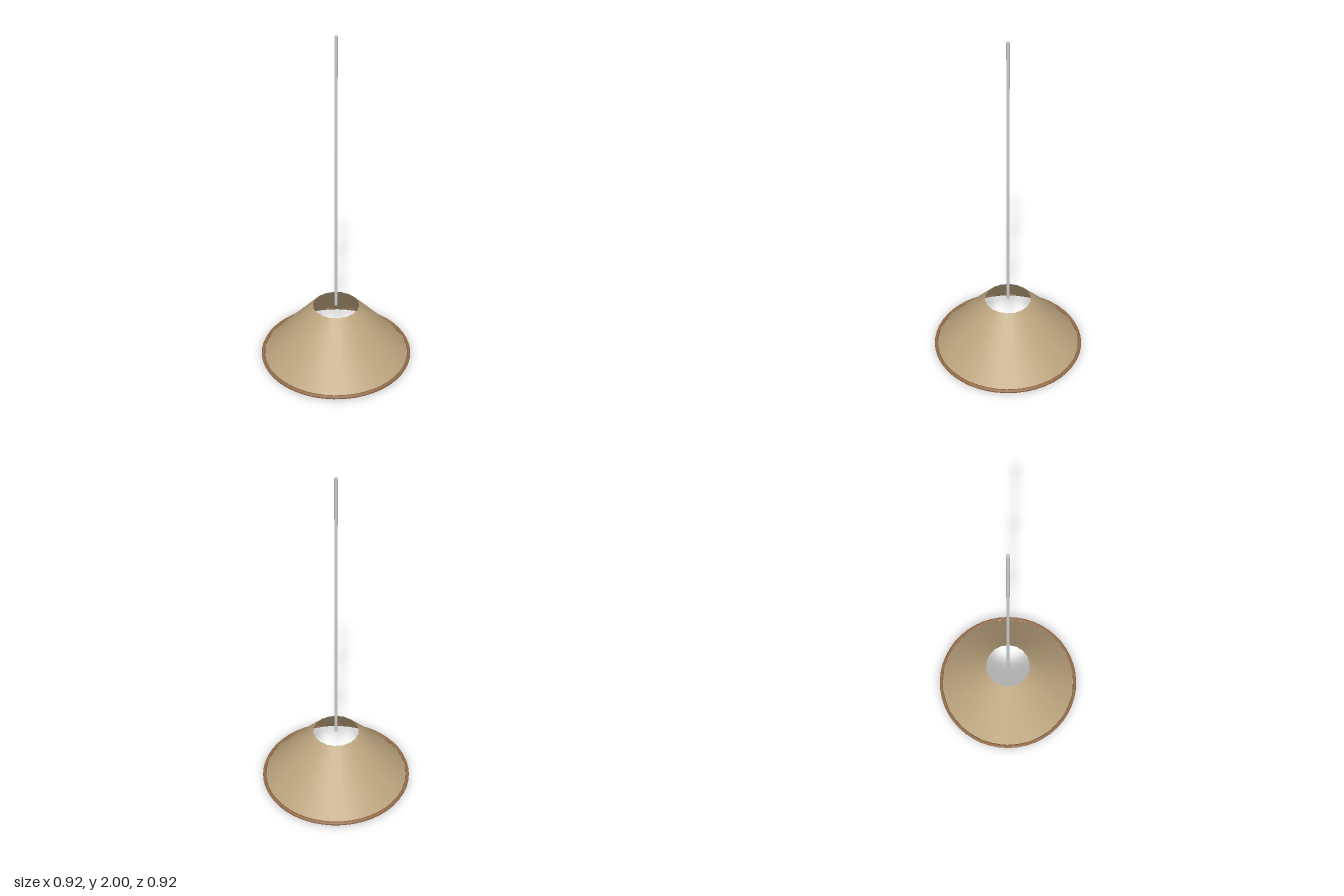
import * as THREE from 'three';

const mat = (name, color, side = THREE.FrontSide) => {
  const m = new THREE.MeshStandardMaterial({ color, side });
  m.name = name;
  return m;
};

export function createModel() {
  const fabric = mat('tan fabric', 0xbca47e, THREE.DoubleSide);
  const trim = mat('brown trim', 0x946c48);
  const metal = mat('light grey cord', 0xcccccc);
  const model = new THREE.Group();
  model.name = 'pendantLamp';

  const add = (name, geometry, material, y) => {
    const mesh = new THREE.Mesh(geometry, material);
    mesh.name = name;
    mesh.position.y = y;
    model.add(mesh);
  };

  // Open conical shade with 18 shallow pleats: every second edge is drawn in
  const pleats = 18, bottom = 0.011, top = 0.342;
  const shade = new THREE.CylinderGeometry(0.14, 0.445, top - bottom, pleats * 2, 1, true);
  const p = shade.attributes.position;
  for (let i = 0; i < p.count; i++) {
    if (i % (pleats * 2 + 1) % 2 === 1) {
      p.setX(i, p.getX(i) * 0.972);
      p.setZ(i, p.getZ(i) * 0.972);
    }
  }
  add('shade', shade, fabric, (top + bottom) / 2);

  // Rolled trim around the lower rim
  const rim = new THREE.TorusGeometry(0.447, 0.011, 8, 48).rotateX(Math.PI / 2);
  add('rimTrim', rim, trim, bottom);

  // Hanging cord with a rounded tip, ending level with the top opening
  const cord = new THREE.CylinderGeometry(0.009, 0.009, 1.991 - top, 12, 1, true);
  add('cord', cord, metal, (1.991 + top) / 2);
  const tip = new THREE.SphereGeometry(0.009, 12, 4, 0, Math.PI * 2, 0, Math.PI / 2);
  add('cordTip', tip, metal, 1.991);
  add('cordEnd', new THREE.CircleGeometry(0.009, 12).rotateX(Math.PI / 2), metal, top);

  return model;
}
